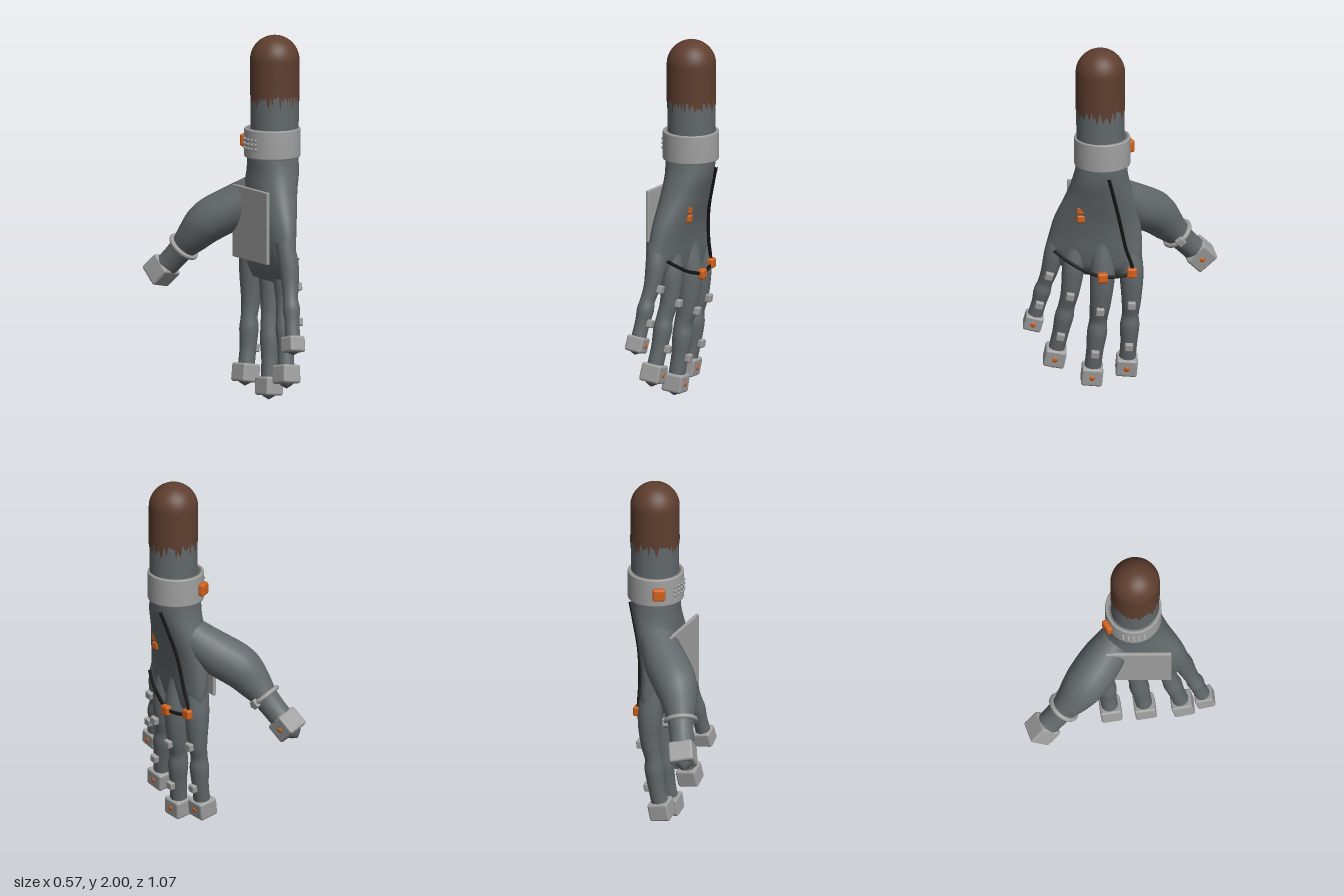
import * as THREE from 'three';
import { mergeVertices } from 'three/addons/utils/BufferGeometryUtils.js';
import { RoundedBoxGeometry } from 'three/addons/geometries/RoundedBoxGeometry.js';
import { ParametricGeometry } from 'three/addons/geometries/ParametricGeometry.js';

const mat = (name, color, side = THREE.FrontSide) => {
  const m = new THREE.MeshStandardMaterial({ color, side });
  m.name = name;
  return m;
};
const V = (x, y, z) => new THREE.Vector3(x, y, z);

export function createModel() {
  const model = new THREE.Group();
  model.name = 'glovedHand';
  const glove = mat('glove grey', 0x62686b);
  const metal = mat('light grey', 0xa0a0a0);
  const skin = mat('brown skin', 0x5e3e2f, THREE.DoubleSide);
  const orange = mat('orange', 0xd2621c);
  const black = mat('cable black', 0x161616);

  const add = (name, geo, material, pos, parent = model) => {
    const m = new THREE.Mesh(geo, material);
    m.name = name;
    if (pos) m.position.copy(pos);
    parent.add(m);
    return m;
  };
  const box = (w, h, d, r = 0.01) => new RoundedBoxGeometry(w, h, d, 2, r);

  // Swept limb with a varying radius; each point is [x, y, z, radius]
  const limb = (name, pts) => {
    const curve = new THREE.CatmullRomCurve3(pts.map(p => V(p[0], p[1], p[2])));
    const radii = new THREE.CatmullRomCurve3(pts.map(p => V(p[3], 0, 0)), false, 'catmullrom', 0.5);
    const seg = 48, sides = 20;
    const geo = new THREE.TubeGeometry(curve, seg, 1, sides);
    const pos = geo.attributes.position, v = V(0, 0, 0);
    for (let i = 0; i <= seg; i++) {
      const c = curve.getPointAt(i / seg);
      const r = Math.max(0.002, radii.getPoint(curve.getUtoTmapping(i / seg)).x);
      for (let j = 0; j <= sides; j++) {
        const k = i * (sides + 1) + j;
        v.fromBufferAttribute(pos, k).sub(c).multiplyScalar(r).add(c);
        pos.setXYZ(k, v.x, v.y, v.z);
      }
    }
    geo.deleteAttribute('normal');
    geo.deleteAttribute('uv');
    const smooth = mergeVertices(geo, 1e-5);
    smooth.computeVertexNormals();
    add(name, smooth, glove);
    return curve;
  };

  // Group set on a limb: y along the limb, x towards the back of the hand
  const mount = (name, curve, t) => {
    const g = new THREE.Group();
    g.name = name;
    const y = curve.getTangent(t).negate();
    const x = V(1, 0, 0).addScaledVector(y, -y.x).normalize();
    g.quaternion.setFromRotationMatrix(new THREE.Matrix4().makeBasis(x, y, x.clone().cross(y)));
    g.position.copy(curve.getPoint(t));
    model.add(g);
    return g;
  };
  const fingerCap = (name, curve, t, s) => {
    const g = mount(name, curve, t);
    add('capBlock', box(s, s * 0.88, s, 0.013), metal, null, g);
    add('capLight', new THREE.SphereGeometry(0.015, 14, 10), orange, V(s / 2, 0, 0), g).scale.x = 0.45;
  };

  // Forearm: sleeve, bare skin with a ragged lower edge, rounded end
  const arm = V(0.145, 0, 0.115);
  add('forearmSleeve', new THREE.CylinderGeometry(0.132, 0.13, 0.4, 48), glove, V(0.145, 1.52, 0.115));
  const dome = [];
  for (let i = 0; i <= 14; i++) {
    const a = i / 14 * Math.PI / 2;
    dome.push(new THREE.Vector2(0.135 * Math.cos(a), 1.865 + 0.135 * Math.sin(a)));
  }
  add('armSkin', new THREE.LatheGeometry([new THREE.Vector2(0.135, 1.69), ...dome], 48), skin, arm);
  const ragged = new THREE.CylinderGeometry(0.135, 0.135, 0.04, 96, 1, true);
  let seed = 7;
  const rand = () => (seed = (seed * 16807) % 2147483647) / 2147483647;
  for (let i = 97; i < 194; i++) {
    ragged.attributes.position.setY(i, i % 97 === 0 ? -0.03 : 0.012 - 0.082 * Math.pow(rand(), 1.6));
  }
  add('raggedSkinEdge', ragged, skin, V(0.145, 1.67, 0.115));

  // Cuff band with button and stud grid
  const cuff = new THREE.Group();
  cuff.name = 'cuff';
  cuff.position.set(0.137, 1.41, 0.104);
  model.add(cuff);
  const band = [[0.128, -0.08], [0.147, -0.08], [0.152, -0.078], [0.154, -0.072], [0.154, 0.072],
    [0.152, 0.078], [0.147, 0.08], [0.128, 0.08], [0.128, -0.08]];
  add('cuffBand', new THREE.LatheGeometry(band.map(p => new THREE.Vector2(...p)), 64), metal, null, cuff);
  const button = add('cuffButton', box(0.07, 0.07, 0.035, 0.012), orange, V(-0.068, 0, -0.152), cuff);
  button.rotation.y = Math.atan2(-0.068, -0.152);
  for (let c = 0; c < 5; c++) for (let r = 0; r < 3; r++) {
    const a = Math.PI + 0.4 - c * 0.19 + 0.1;
    add('cuffStud', new THREE.SphereGeometry(0.0085, 8, 6), metal,
      V(0.155 * Math.cos(a), (r - 1) * 0.025, 0.155 * Math.sin(a)), cuff);
  }

  // Palm: lofted ovals, each [y, centre x, centre z, half depth, half width, slant]
  const rings = [
    [1.45, 0.14, 0.108, 0.125, 0.128, 0], [1.34, 0.137, 0.108, 0.132, 0.136, 0],
    [1.25, 0.133, 0.112, 0.127, 0.152, 0], [1.14, 0.113, 0.115, 0.116, 0.185, -0.05],
    [1.0, 0.088, 0.13, 0.1, 0.23, -0.1], [0.9, 0.08, 0.138, 0.088, 0.25, -0.14],
    [0.8, 0.08, 0.145, 0.075, 0.258, -0.18], [0.72, 0.082, 0.13, 0.058, 0.225, -0.2],
    [0.66, 0.085, 0.09, 0.02, 0.16, -0.2]];
  const centre = new THREE.CatmullRomCurve3(rings.map(r => V(r[1], r[0], r[2])), false, 'catmullrom');
  const size = new THREE.CatmullRomCurve3(rings.map(r => V(r[3], r[4], r[5])), false, 'catmullrom');
  const round = n => Math.sign(n) * Math.pow(Math.abs(n), 0.88);
  add('palm', new ParametricGeometry((u, v, out) => {
    const c = centre.getPoint(v), s = size.getPoint(v), a = u * Math.PI * 2;
    const dz = s.y * round(Math.sin(a));
    out.set(c.x + s.x * round(Math.cos(a)) + s.z * dz, c.y, c.z + dz);
  }, 48, 48), glove);

  // Fingers: studs sit on points 2 and 5, the cap on point 6
  const fingers = {
    index: [[0.1, 0.88, -0.04, 0.055], [0.118, 0.7, -0.055, 0.066], [0.115, 0.515, -0.055, 0.053],
      [0.1, 0.43, -0.05, 0.046], [0.096, 0.37, -0.047, 0.053], [0.085, 0.26, -0.042, 0.046],
      [0.06, 0.125, -0.031, 0.045], [0.052, 0.075, -0.027, 0.036], [0.05, 0.055, -0.026, 0.002]],
    middle: [[0.11, 0.86, 0.1, 0.06], [0.13, 0.68, 0.102, 0.068], [0.118, 0.485, 0.116, 0.056],
      [0.1, 0.4, 0.125, 0.049], [0.098, 0.33, 0.131, 0.055], [0.088, 0.22, 0.143, 0.047],
      [0.07, 0.075, 0.158, 0.045], [0.065, 0.022, 0.162, 0.036], [0.064, 0.002, 0.164, 0.002]],
    ring: [[0.07, 0.88, 0.235, 0.055], [0.088, 0.72, 0.258, 0.062], [0.085, 0.56, 0.278, 0.051],
      [0.066, 0.47, 0.297, 0.046], [0.06, 0.41, 0.309, 0.052], [0.048, 0.31, 0.329, 0.045],
      [0.027, 0.17, 0.359, 0.044], [0.02, 0.115, 0.369, 0.035], [0.018, 0.095, 0.373, 0.002]],
    little: [[0.03, 0.9, 0.335, 0.05], [0.04, 0.78, 0.362, 0.055], [0.03, 0.66, 0.39, 0.046],
      [0.014, 0.59, 0.412, 0.041], [0.008, 0.54, 0.427, 0.047], [-0.002, 0.475, 0.443, 0.041],
      [-0.02, 0.355, 0.475, 0.041], [-0.026, 0.315, 0.485, 0.034], [-0.028, 0.298, 0.489, 0.002]]
  };
  for (const [name, pts] of Object.entries(fingers)) {
    const curve = limb(name + 'Finger', pts);
    fingerCap(name + 'FingerCap', curve, 6 / 8, name === 'little' ? 0.1 : 0.116);
    for (const k of [2, 5]) {
      const g = mount(name + 'FingerStud', curve, k / 8);
      add('stud', box(0.036, 0.045, 0.045, 0.008), metal, V(pts[k][3] + 0.005, 0, 0), g);
    }
  }

  // Thumb with its ring and cap
  const thumb = limb('thumb', [[0.12, 1.15, 0.03, 0.09], [0.02, 1.04, -0.085, 0.118],
    [-0.075, 0.955, -0.19, 0.118], [-0.12, 0.87, -0.26, 0.095], [-0.145, 0.805, -0.315, 0.073],
    [-0.17, 0.74, -0.37, 0.066], [-0.2, 0.665, -0.44, 0.064], [-0.217, 0.622, -0.48, 0.045],
    [-0.225, 0.6, -0.5, 0.002]]);
  fingerCap('thumbCap', thumb, 6 / 8, 0.134);
  const ring = mount('thumbRing', thumb, 4 / 8);
  add('ringBand', new THREE.TorusGeometry(0.082, 0.013, 10, 40), metal, null, ring).rotation.x = Math.PI / 2;
  add('ringClasp', box(0.03, 0.05, 0.045, 0.008), metal, V(0.085, 0, 0), ring);

  // Palm plate
  const plate = add('palmPlate', box(0.02, 0.4, 0.358, 0.006), metal, V(-0.02, 0.97, 0.112));
  plate.rotation.y = -0.126;

  // Row of lights on the back of the hand
  for (let i = 0; i < 4; i++) {
    add('handLight', box(0.04, 0.043, 0.045, 0.01), orange, V(0.176 - i * 0.001, 1.17 - i * 0.049, 0.222));
  }

  // Cable and its knuckle connectors
  const cable = new THREE.CatmullRomCurve3([V(0.275, 1.29, 0.073), V(0.243, 1.18, 0.048), V(0.205, 1.03, 0.015),
    V(0.188, 0.86, -0.02), V(0.185, 0.71, -0.055), V(0.198, 0.69, 0.02), V(0.2, 0.69, 0.105),
    V(0.172, 0.715, 0.2), V(0.142, 0.76, 0.29), V(0.105, 0.81, 0.365)]);
  add('cable', new THREE.TubeGeometry(cable, 80, 0.0095, 8), black);
  for (const [x, y, z] of [[0.187, 0.707, -0.056], [0.205, 0.686, 0.104]]) {
    add('knuckleConnector', box(0.042, 0.056, 0.056, 0.012), orange, V(x, y, z));
  }
  return model;
}
